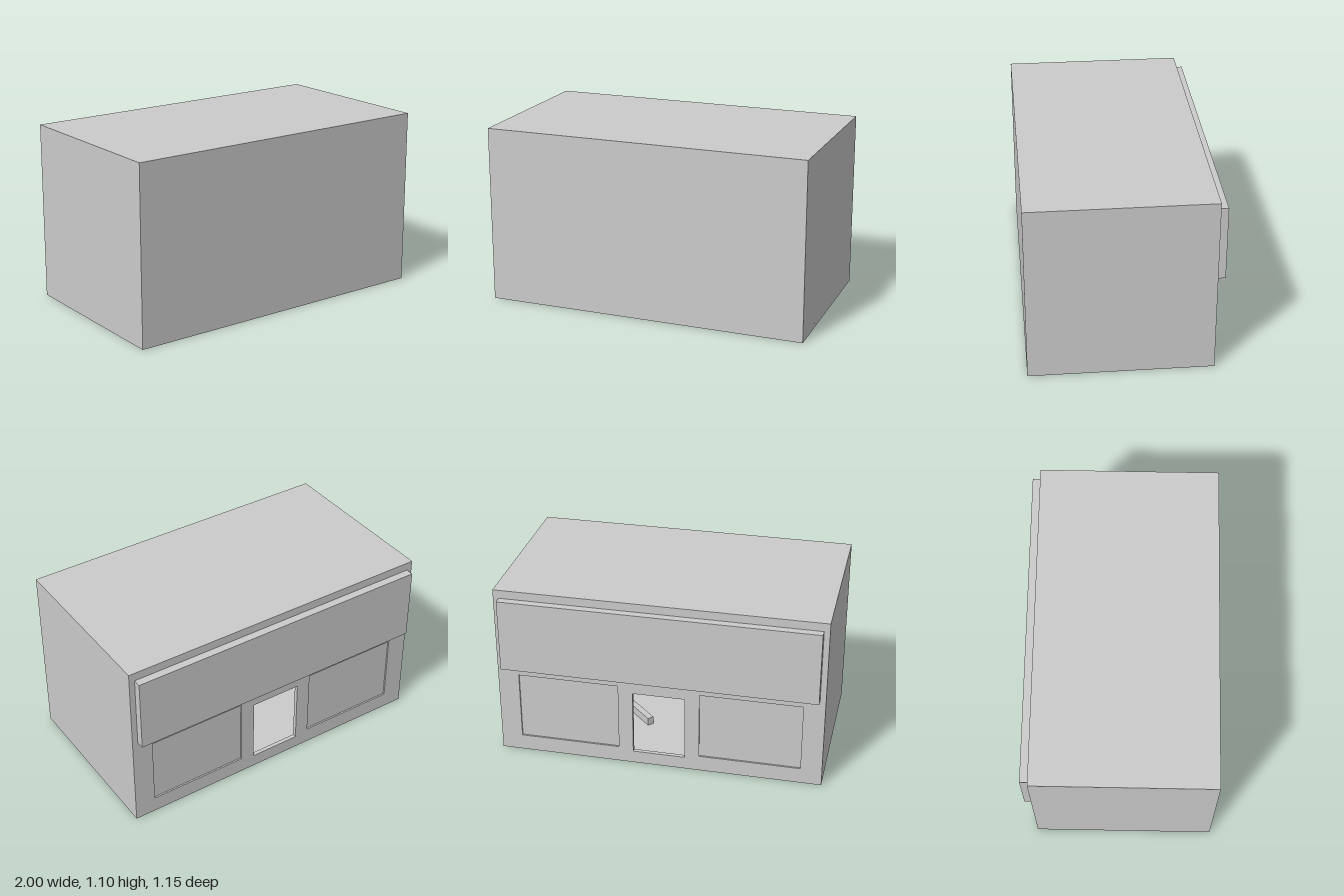
import * as THREE from 'three';

const W = 2, H = 1.095, FRONT = 0.573, BACK = -0.524, T = 0.025;
const FLOOR = 0.03, CEILING = 1.05;

export function createModel() {
  const model = new THREE.Group();
  model.name = 'shopBuilding';
  const material = new THREE.MeshStandardMaterial({ color: 0xcccccc, flatShading: true });

  const add = (name, geometry) => {
    const mesh = new THREE.Mesh(geometry, material);
    mesh.name = name;
    model.add(mesh);
    return mesh;
  };
  // Box given by its lowest and highest corner
  const box = (name, x0, x1, y0, y1, z0, z1) => {
    const mesh = add(name, new THREE.BoxGeometry(x1 - x0, y1 - y0, z1 - z0));
    mesh.position.set((x0 + x1) / 2, (y0 + y1) / 2, (z0 + z1) / 2);
    return mesh;
  };
  const rectangle = (PathType, x0, x1, y0, y1) => new PathType([
    [x0, y0], [x1, y0], [x1, y1], [x0, y1],
  ].map(([x, y]) => new THREE.Vector2(x, y)));

  // Hollow shell
  box('floor', -W / 2, W / 2, 0, FLOOR, BACK + T, FRONT);
  box('roof', -W / 2, W / 2, CEILING, H, BACK + T, FRONT);
  box('frontWall', -W / 2, W / 2, FLOOR, CEILING, FRONT - T, FRONT);
  box('leftWall', W / 2 - T, W / 2, FLOOR, CEILING, BACK + T, FRONT - T);
  box('rightWall', -W / 2, -W / 2 + T, FLOOR, CEILING, BACK + T, FRONT - T);

  // Entrance wall with a doorway and two windows
  const wall = rectangle(THREE.Shape, -W / 2, W / 2, 0, H);
  wall.holes.push(rectangle(THREE.Path, -0.16, 0.16, 0.08, 0.49));
  for (const side of [-1, 1]) {
    const [x0, x1] = side > 0 ? [0.25, 0.87] : [-0.87, -0.25];
    wall.holes.push(rectangle(THREE.Path, x0, x1, 0.1, 0.53));
    box(side > 0 ? 'leftWindowPane' : 'rightWindowPane', x0, x1, 0.1, 0.53, BACK + 0.01, BACK + 0.02);
  }
  add('entranceWall', new THREE.ExtrudeGeometry(wall, { depth: T, bevelEnabled: false }))
    .position.z = BACK;

  // Blank board above the entrance
  box('signBoard', -0.965, 0.965, 0.587, 1.043, -0.573, BACK);

  // Low counter inside with a slanted rail
  box('counter', 0.5, 0.85, FLOOR, 0.12, -0.02, 0.5);
  const rail = box('counterRail', -0.29, 0.29, FLOOR, 0.08, -0.02, 0.02);
  rail.position.set(0.35, 0.055, 0.08);
  rail.rotation.y = -Math.PI / 4;

  return model;
}
